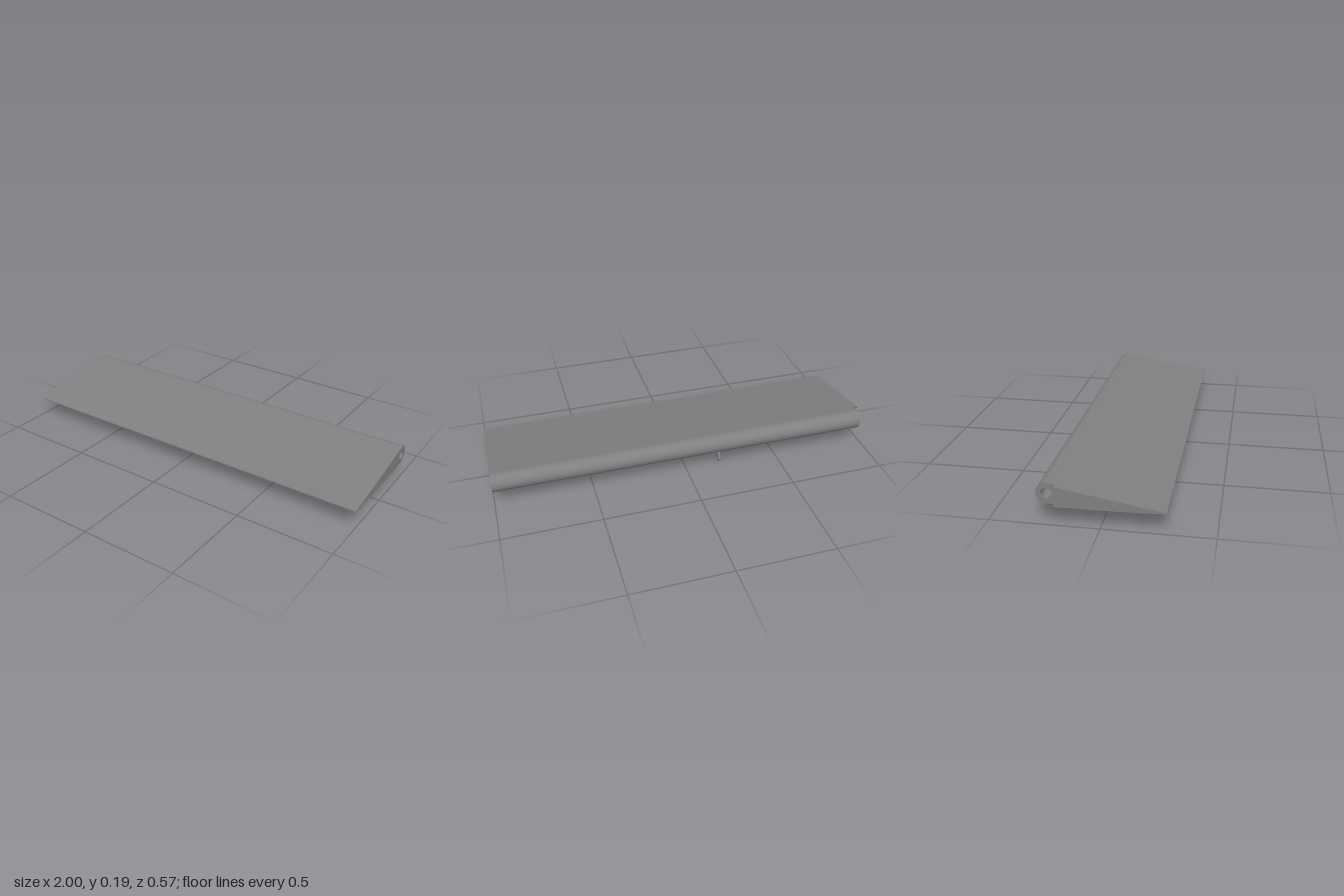
import * as THREE from 'three';
import { toCreasedNormals } from 'three/addons/utils/BufferGeometryUtils.js';

// Profiles are drawn in (-z, y) and extruded along x.
const NOSE = { x: 0.236, y: 0.139, r: 0.0505 };
const TILT = 0.168; // slope of the upper skin
const TAIL_X = -0.287;

function extrudeAlongX(shape, x0, x1, curveSegments = 32) {
  const geometry = new THREE.ExtrudeGeometry(shape, { depth: x1 - x0, bevelEnabled: false, curveSegments });
  return geometry.translate(0, 0, x0);
}

function addHole(shape, x, y, r) {
  shape.holes.push(new THREE.Path().absarc(x, y, r, 0, Math.PI * 2, true));
}

// Lower skin, a given front arc, then the upper skin back to the thin tail
function wedgeShape(drawArc) {
  const shape = new THREE.Shape();
  shape.moveTo(TAIL_X, 0.096);
  shape.lineTo(-0.119, 0.0915);
  shape.lineTo(0, 0.0887);
  drawArc(shape);
  const topX = NOSE.x - NOSE.r * Math.sin(TILT);
  const topY = NOSE.y + NOSE.r * Math.cos(TILT);
  for (let x = 0.18; x > TAIL_X + 0.02; x -= 0.04) {
    shape.lineTo(x, THREE.MathUtils.mapLinear(x, TAIL_X, topX, 0.102, topY));
  }
  shape.lineTo(TAIL_X, 0.102);
  shape.closePath();
  return shape;
}

// The upper skin dips and the nose slims slightly toward the +x end
function taper(geometry) {
  const p = geometry.attributes.position;
  for (let i = 0; i < p.count; i++) {
    const x = p.getX(i), y = p.getY(i), t = (p.getZ(i) + 0.975) / 1.975;
    const dx = x - NOSE.x, dy = y - NOSE.y;
    if (x > 0.2 && Math.hypot(dx, dy) > 0.04) {
      const s = 1 - 0.03 * t;
      p.setXY(i, NOSE.x + dx * s, NOSE.y + dy * s);
    } else if (y > 0.105) {
      const u = (x - TAIL_X) / (0.228 - TAIL_X);
      p.setY(i, y - t * (0.0015 * u + 0.0025 * Math.sin(Math.PI * u)));
    }
  }
  return geometry;
}

// Flared foot: rounded cross-sections [y, near, far, half thickness], top to bottom
function hornRootGeometry(centreX) {
  const levels = [
    [0.092, 0.115, 0.24, 0.028], [0.087, 0.122, 0.231, 0.017],
    [0.081, 0.13, 0.222, 0.011], [0.074, 0.136, 0.215, 0.008], [0.062, 0.143, 0.21, 0.0062],
  ];
  const n = 32, positions = [], index = [];
  const soft = (v) => Math.sign(v) * Math.sqrt(Math.abs(v));
  levels.forEach(([y, near, far, half], i) => {
    for (let j = 0; j < n; j++) {
      const a = (j / n) * Math.PI * 2;
      positions.push(centreX + half * soft(Math.cos(a)), y, -(near + far) / 2 + ((far - near) / 2) * soft(Math.sin(a)));
      if (i === levels.length - 1) continue;
      const k = (j + 1) % n, A = i * n + j, B = i * n + k;
      index.push(A, B, A + n, B, B + n, A + n);
    }
  });
  const geometry = new THREE.BufferGeometry();
  geometry.setAttribute('position', new THREE.Float32BufferAttribute(positions, 3));
  geometry.setIndex(index);
  geometry.computeVertexNormals();
  return geometry;
}

function hornShape() {
  const s = new THREE.Shape();
  s.moveTo(0.117, 0.092);
  s.quadraticCurveTo(0.134, 0.086, 0.138, 0.071);
  s.quadraticCurveTo(0.14, 0.065, 0.146, 0.06);
  s.lineTo(0.201, 0.0062);
  s.absarc(0.212, 0.0165, 0.0165, -2.3, 0.52, false);
  s.lineTo(0.211, 0.054);
  s.quadraticCurveTo(0.205, 0.066, 0.214, 0.077);
  s.quadraticCurveTo(0.222, 0.087, 0.238, 0.092);
  s.closePath();
  addHole(s, 0.195, 0.041, 0.0055);
  addHole(s, 0.2115, 0.018, 0.005);
  return s;
}

export function createModel() {
  const model = new THREE.Group();
  model.name = 'hingedFlap';
  const grey = new THREE.MeshStandardMaterial({ color: 0x808080 });
  grey.name = 'plain grey';

  const add = (name, geometry, profile = true) => {
    if (profile) {
      geometry.rotateY(Math.PI / 2);
      geometry = toCreasedNormals(geometry, 0.5);
    }
    const mesh = new THREE.Mesh(geometry, grey);
    mesh.name = name;
    model.add(mesh);
  };

  // Main panel with its round, bored hinge nose
  const body = wedgeShape((s) => s.absarc(NOSE.x, NOSE.y, NOSE.r, -Math.PI / 2, Math.PI / 2 + TILT, false));
  addHole(body, 0.239, NOSE.y, 0.025);
  add('flapPanel', taper(extrudeAlongX(body, -0.975, 1)));

  // End strip, cut away in a hollow curve around the hinge
  const strip = wedgeShape((s) => s.absarc(NOSE.x, NOSE.y, 0.058, -2.09, -3.97, true));
  add('notchedEnd', extrudeAlongX(strip, -1, -0.975));

  // Control horn under the hinge
  const hornX = -0.19;
  add('controlHorn', extrudeAlongX(hornShape(), hornX - 0.006, hornX + 0.006, 16));
  add('hornRoot', hornRootGeometry(hornX), false);

  return model;
}
